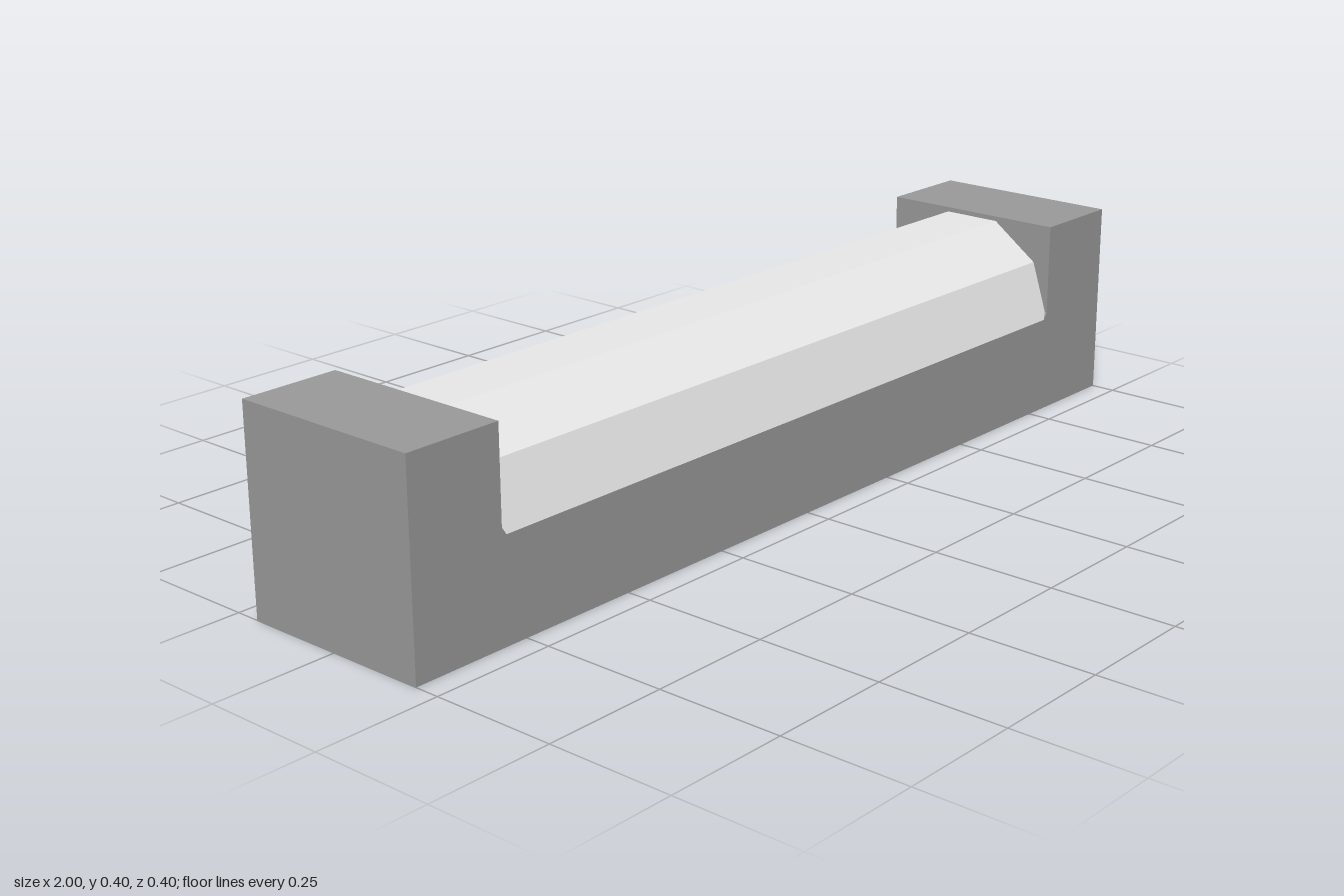
import * as THREE from 'three';

export function createModel() {
  const group = new THREE.Group();

  const grey = new THREE.MeshStandardMaterial({ color: 0x999999, flatShading: true });
  grey.name = 'housing grey';
  const white = new THREE.MeshStandardMaterial({ color: 0xfafafa, flatShading: true });
  white.name = 'tube white';

  // U-shaped housing with small chamfers in the inner corners
  const profile = new THREE.Shape([
    [-1, 0], [1, 0], [1, 0.4], [0.8, 0.4], [0.8, 0.215], [0.79, 0.2],
    [-0.79, 0.2], [-0.8, 0.215], [-0.8, 0.4], [-1, 0.4],
  ].map(([x, y]) => new THREE.Vector2(x, y)));
  const housingGeometry = new THREE.ExtrudeGeometry(profile, { depth: 0.4, bevelEnabled: false });
  housingGeometry.translate(0, 0, -0.2);
  const housing = new THREE.Mesh(housingGeometry, grey);
  housing.name = 'housing';
  group.add(housing);

  // Ten-sided tube lying between the end blocks, half sunk in the housing
  const tubeGeometry = new THREE.CylinderGeometry(0.2, 0.2, 1.62, 10);
  tubeGeometry.rotateZ(Math.PI / 2);
  const tube = new THREE.Mesh(tubeGeometry, white);
  tube.name = 'tube';
  tube.position.y = 0.2;
  group.add(tube);

  return group;
}
